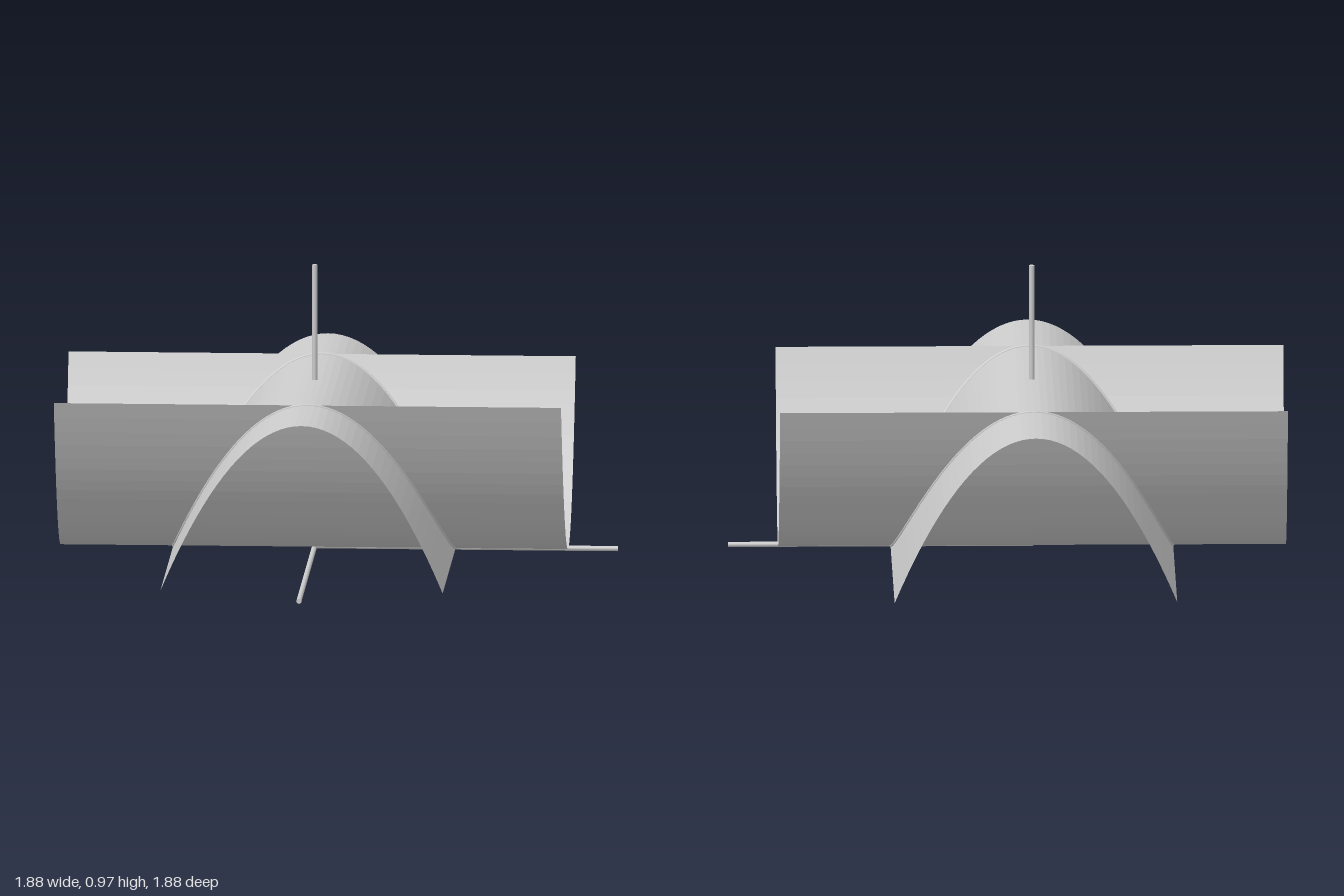
import * as THREE from 'three';

const R = 0.477, H = 0.57;              // half width and height of both parabolic sheets
const O = new THREE.Vector3(-0.12, 0.045, -0.145); // origin of the axes
const BACK = -0.857, FRONT = 0.857;     // sheet extent along its straight direction

const grey = new THREE.MeshStandardMaterial({ color: 0xcccccc });
const sheetMaterial = new THREE.MeshStandardMaterial({
  color: 0xcccccc, side: THREE.DoubleSide, flatShading: true,
});

// Curved sheet: a flat plane whose height follows a function of x and z
function sheet(name, width, depth, segX, segZ, height) {
  const geo = new THREE.PlaneGeometry(width, depth, segX, segZ).rotateX(-Math.PI / 2);
  const pos = geo.attributes.position;
  for (let i = 0; i < pos.count; i++) pos.setY(i, height(pos.getX(i), pos.getZ(i)));
  geo.computeVertexNormals();
  const mesh = new THREE.Mesh(geo, sheetMaterial);
  mesh.name = name;
  return mesh;
}

// Thin rod running from the origin along one direction
function axisRod(name, direction, length) {
  const geo = new THREE.CylinderGeometry(0.009, 0.009, length, 12).translate(0, length / 2, 0);
  const mesh = new THREE.Mesh(geo, grey);
  mesh.quaternion.setFromUnitVectors(new THREE.Vector3(0, 1, 0), direction);
  mesh.name = name;
  return mesh;
}

// Closed curve where the two sheets cross: a circle seen from above
class CrossingCurve extends THREE.Curve {
  getPoint(t, target = new THREE.Vector3()) {
    const a = t * Math.PI * 2;
    return target.set(R * Math.cos(a), H * Math.sin(a) ** 2, R * Math.sin(a));
  }
}

export function createModel() {
  const model = new THREE.Group();
  model.name = 'crossingParabolicSheets';
  const length = FRONT - BACK;

  // Arch running front to back, trough running side to side
  model.add(sheet('archSheet', 2 * R, length, 40, 1, (x) => H * (1 - (x / R) ** 2)));
  model.add(sheet('troughSheet', length, 2 * R, 1, 40, (x, z) => H * (z / R) ** 2));

  // Line of intersection
  const line = new THREE.Mesh(new THREE.TubeGeometry(new CrossingCurve(), 160, 0.006, 8, true), grey);
  line.name = 'intersectionLine';
  model.add(line);

  // Coordinate axes
  model.add(axisRod('frontAxis', new THREE.Vector3(0, 0, 1), 1.025));
  model.add(axisRod('sideAxis', new THREE.Vector3(1, 0, 0), 1.025));
  model.add(axisRod('verticalAxis', new THREE.Vector3(0, 1, 0), 0.965));

  for (const part of model.children) part.position.copy(O);
  return model;
}
